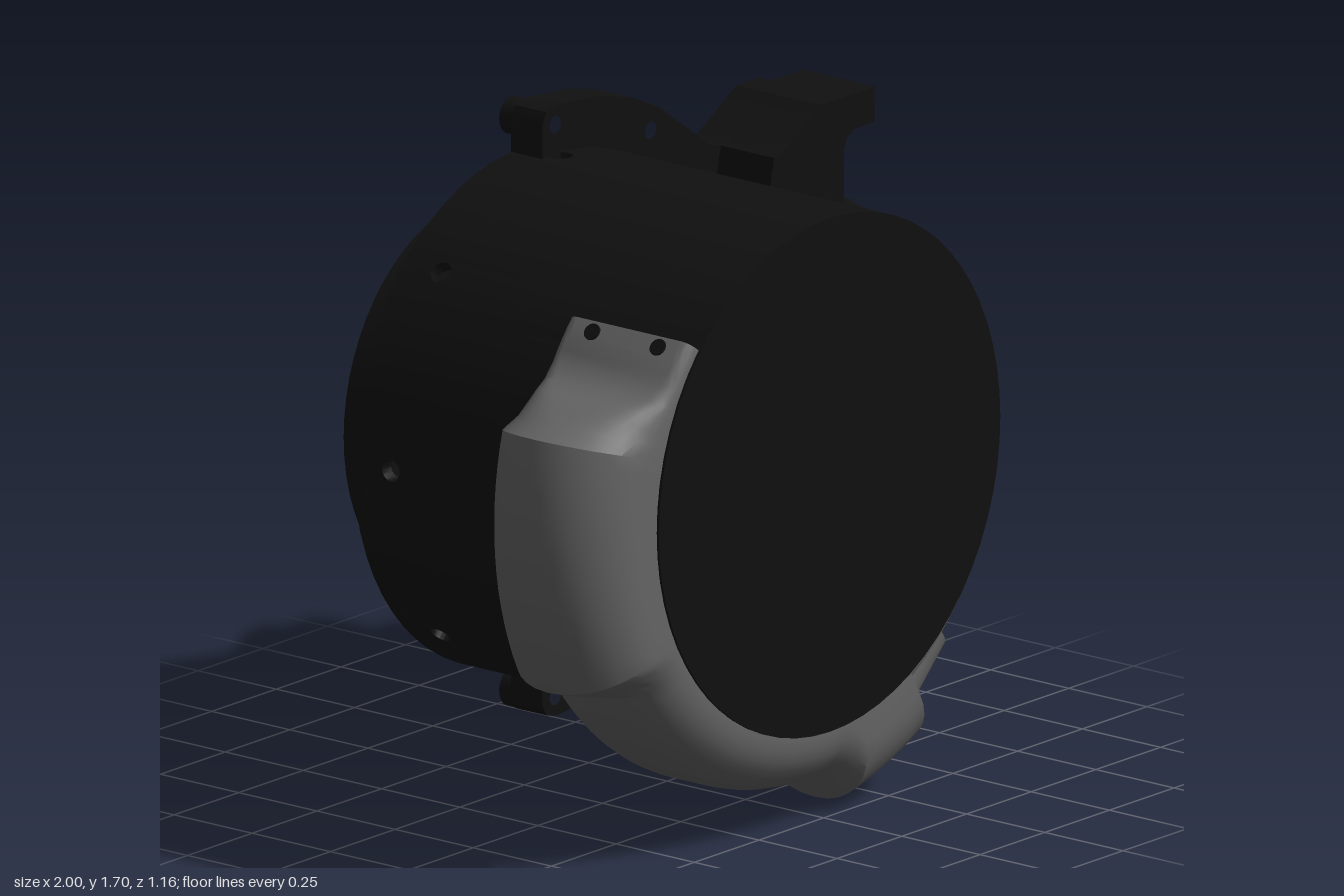
import * as THREE from 'three';
import { mergeGeometries, toCreasedNormals } from 'three/addons/utils/BufferGeometryUtils.js';

const CX = -0.07, CY = 0.915;          // axis of the round housing
const dark = new THREE.MeshStandardMaterial({ color: 0x101010 });
const grey = new THREE.MeshStandardMaterial({ color: 0x666666 });
const rad = THREE.MathUtils.degToRad;

const shapeOf = pts => new THREE.Shape(pts.map(p => new THREE.Vector2(...p)));
const circle = (x, y, r) => new THREE.Path().absarc(x, y, r, 0, Math.PI * 2, true);
const extrude = (shape, depth) =>
  new THREE.ExtrudeGeometry(shape, { depth, bevelEnabled: false, curveSegments: 16 });

function add(parent, name, geo, mat = dark) {
  const mesh = new THREE.Mesh(toCreasedNormals(geo, 0.5), mat);
  mesh.name = name;
  parent.add(mesh);
  return mesh;
}

// Lathe around the housing axis; profile is [radius, z], counter-clockwise
function turned(profile) {
  return new THREE.LatheGeometry(profile.map(p => new THREE.Vector2(...p)), 64)
    .rotateX(Math.PI / 2).translate(CX, CY, 0);
}

// Curved wall made of bent panels, with windows and bolt holes
function housingWall() {
  const N = 56, step = Math.PI * 2 / N, r0 = 0.625, r1 = 0.66, panels = [];
  for (let k = -28; k < 28; k++) {
    const w = step * r1 / 2, m = Math.abs(k);
    const parts = [];
    if (m <= 3 || m >= 25) {            // side windows
      parts.push([-0.4, 0.26], [0.55, 0.575]);
    } else parts.push([-0.4, 0.575]);
    parts.forEach(([z0, z1], i) => {
      const s = shapeOf([[-w, z0], [w, z0], [w, z1], [-w, z1]]);
      if (i === 0 && k % 7 === 0) s.holes.push(circle(0, -0.28, 0.028));
      if (m === 6 || m === 22) [0.27, 0.48].forEach(z => s.holes.push(circle(0, z, 0.02)));
      const g = extrude(s, r1 - r0), p = g.attributes.position;
      for (let j = 0; j < p.count; j++) {
        const a = k * step + p.getX(j) / r1, r = r0 + p.getZ(j);
        p.setXYZ(j, CX + r * Math.cos(a), CY + r * Math.sin(a), p.getY(j));
      }
      panels.push(g);
    });
  }
  return mergeGeometries(panels);
}

// Rounded section swept around the housing; keys are [degrees, outer radius]
function sweptDuct(keys, zc, hw) {
  const r0 = 0.655, pos = [], idx = [], angles = [];
  for (let i = 0; i < keys.length - 1; i++) {
    const [a, ra] = keys[i], [b, rb] = keys[i + 1], n = Math.ceil((b - a) / 3);
    for (let j = 0; j < n; j++) angles.push([a + (b - a) * j / n, ra + (rb - ra) * j / n]);
  }
  angles.push(keys[keys.length - 1]);
  let M = 0;
  for (const [deg, R] of angles) {
    const c = Math.min(hw * 0.97, (R - r0) * 0.9), ring = [[-hw, r0]];
    for (let q = 0; q < 2; q++)
      for (let i = 0; i <= 8; i++) {
        const t = Math.PI - (q * 8 + i) * Math.PI / 16;
        ring.push([(q ? hw - c : c - hw) + c * Math.cos(t), R - c + c * Math.sin(t)]);
      }
    ring.push([hw, r0]);
    M = ring.length;
    for (const [z, r] of ring)
      pos.push(CX + r * Math.cos(rad(deg)), CY + r * Math.sin(rad(deg)), zc + z);
  }
  const last = (angles.length - 1) * M;
  for (let j = 0; j < last; j += M)
    for (let i = 0; i < M; i++) {
      const n = (i + 1) % M;
      idx.push(j + i, j + M + i, j + M + n, j + i, j + M + n, j + n);
    }
  for (let i = 1; i < M - 1; i++) idx.push(0, i, i + 1, last, last + i + 1, last + i);
  const g = new THREE.BufferGeometry();
  g.setAttribute('position', new THREE.Float32BufferAttribute(pos, 3));
  g.setIndex(idx);
  return g;
}

// Extrude a (z, radius) section backwards along the tangent at an angle
function tangential(shape, deg, depth) {
  const c = Math.cos(rad(deg)), s = Math.sin(rad(deg));
  const m = new THREE.Matrix4().makeBasis(new THREE.Vector3(0, 0, 1),
    new THREE.Vector3(c, s, 0), new THREE.Vector3(-s, c, 0)).setPosition(CX, CY, 0);
  return extrude(shape, depth).translate(0, 0, -depth).applyMatrix4(m);
}

export function createModel() {
  const model = new THREE.Group();

  // Housing: wall, closed front and stepped rear collar
  const housing = new THREE.Group();
  housing.name = 'housing';
  model.add(housing);
  add(housing, 'wall', housingWall());
  add(housing, 'frontPlate', turned([[0, 0.55], [0.66, 0.55], [0.66, 0.577], [0, 0.577]]));
  add(housing, 'rearCollar', turned([[0.43, -0.555], [0.51, -0.555], [0.51, -0.44], [0.54, -0.44],
    [0.54, -0.4], [0.66, -0.4], [0.66, -0.36], [0.46, -0.36], [0.46, -0.5], [0.43, -0.5], [0.43, -0.555]]));

  // Half-ring flange joined to the side bracket, mirrored about the axis height
  const top = [[-0.12, 1.56], [-0.12, 1.66], [-0.105, 1.69], [-0.07, 1.7], [0.1, 1.685], [0.22, 1.655],
    [0.33, 1.605], [0.53, 1.46], [0.57, 1.45], [0.6, 1.455], [0.75, 1.545], [0.84, 1.545], [0.84, CY]];
  const mirrorPts = pts => pts.map(([x, y]) => [x, 2 * CY - y]).reverse();
  const outline = [...top, ...mirrorPts(top.slice(0, -1))];
  for (let d = -90; d <= 90; d += 5)
    outline.push([CX + 0.635 * Math.cos(rad(d)), CY + 0.635 * Math.sin(rad(d))]);
  const flange = shapeOf(outline);
  const boltAngles = [-90, -60, -30, 0, 30, 60, 90];
  const bolts = boltAngles.map(d => [CX + 0.735 * Math.cos(rad(d)), CY + 0.735 * Math.sin(rad(d))]);
  bolts.forEach(([x, y]) => flange.holes.push(circle(x, y, 0.022)));
  add(model, 'flange', extrude(flange, 0.1).translate(0, 0, -0.4));
  bolts.forEach(([x, y]) => {
    const s = new THREE.Shape().absarc(x, y, 0.048, 0, Math.PI * 2);
    s.holes.push(circle(x, y, 0.022));
    add(model, 'boltBoss', extrude(s, 0.04).translate(0, 0, -0.44));
  });

  // Small lugs on the rear collar
  for (const d of [60, -60]) {
    const lug = add(model, 'rearLug', new THREE.BoxGeometry(0.15, 0.1, 0.17));
    lug.position.set(CX + 0.56 * Math.cos(rad(d)), CY + 0.56 * Math.sin(rad(d)), -0.485);
    lug.rotation.z = rad(d);
  }

  // Bracket arms and gussets, above and below
  const arm = [[0.57, 1.45], [0.55, 1.36], [0.64, 1.2], [0.84, 1.2], [0.84, 1.41], [0.852, 1.438],
    [0.88, 1.453], [0.96, 1.455], [0.96, 1.545], [0.75, 1.545], [0.6, 1.455]];
  const gusset = shapeOf([[0.55, 0.4], [0.55, 0.19], [0.84, 0.08], [0.84, 0.4]]);
  for (const flip of [false, true]) {
    add(model, 'bracketArm', extrude(shapeOf(flip ? mirrorPts(arm) : arm), 0.23).translate(0, 0, -0.36));
    add(model, 'gusset', extrude(gusset, 0.08).rotateX(-Math.PI / 2)
      .translate(0, flip ? 0.63 : 1.12, 0));
  }

  // Round side mount with bore and bolt circle
  const mount = new THREE.Group();
  mount.name = 'sideMount';
  mount.position.set(0.84, CY, -0.24);
  mount.rotation.y = Math.PI / 2;
  model.add(mount);
  const disc = (R, n) => {
    const s = new THREE.Shape().absarc(0, 0, R, 0, Math.PI * 2);
    s.holes.push(circle(0, 0, 0.12));
    for (let i = 0; i < n; i++) {
      const a = (i + 0.5) * Math.PI * 2 / n;
      s.holes.push(circle(0.275 * Math.cos(a), 0.275 * Math.sin(a), 0.018));
    }
    return new THREE.ExtrudeGeometry(s, { depth: 0.08, bevelEnabled: false, curveSegments: 48 });
  };
  add(mount, 'mountDisc', disc(0.345, 8));
  add(mount, 'mountHub', disc(0.21, 0).translate(0, 0, 0.08));

  // Grey duct wrapped under the housing
  const duct = new THREE.Group();
  duct.name = 'duct';
  model.add(duct);
  add(duct, 'ductBody', sweptDuct([[139, 0.695], [149, 0.7], [153, 0.725], [164, 0.93], [206, 0.93],
    [213, 0.813], [275, 0.815], [282, 0.93], [299, 0.93]], 0.37, 0.2), grey);
  add(duct, 'clipPlate', sweptDuct([[298, 0.7], [314, 0.69]], 0.37, 0.2), grey);
  for (const z of [0.235, 0.505])
    add(duct, 'clipTab', sweptDuct([[313, 0.69], [327.5, 0.685]], z, 0.065), grey);

  // Screw heads in the duct tabs
  for (const d of [141.5, 321.5]) for (const z of [0.27, 0.48]) {
    const screw = add(duct, 'screw', new THREE.CylinderGeometry(0.022, 0.022, 0.06, 16));
    screw.position.set(CX + 0.672 * Math.cos(rad(d)), CY + 0.672 * Math.sin(rad(d)), z);
    screw.rotation.z = rad(d - 90);
  }

  // Hose spout and the open cable hook beside it
  const spout = new THREE.Shape().absarc(0.375, 0.76, 0.11, 0, Math.PI * 2);
  spout.holes.push(circle(0.375, 0.76, 0.075));
  add(duct, 'spout', tangential(spout, -45, 0.28), grey);
  const hz = 0.065, hook = new THREE.Shape();
  hook.moveTo(hz + 0.115, 0.655);
  hook.lineTo(hz + 0.115, 0.805);
  hook.absarc(hz, 0.805, 0.115, 0, Math.PI, false);
  hook.lineTo(hz - 0.115, 0.655);
  hook.lineTo(hz - 0.07, 0.655);
  hook.lineTo(hz - 0.07, 0.79);
  hook.absarc(hz, 0.79, 0.07, Math.PI, 0, true);
  hook.lineTo(hz + 0.07, 0.655);
  add(duct, 'cableHook', tangential(hook, -61, 0.22), grey);

  return model;
}
